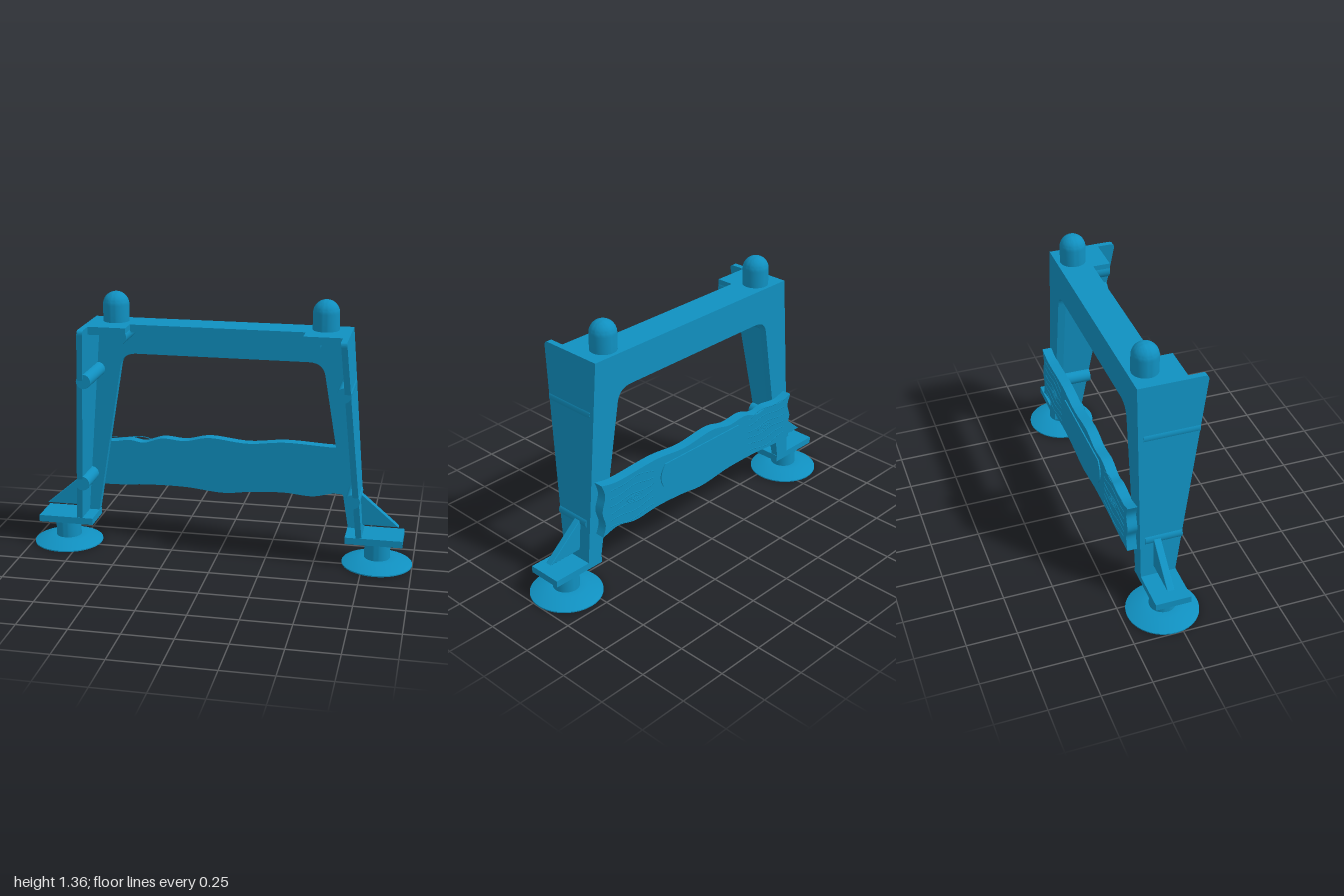
import * as THREE from 'three';
import { toCreasedNormals } from 'three/addons/utils/BufferGeometryUtils.js';

const material = new THREE.MeshStandardMaterial({ color: 0x1090c0 });
const SLOPE = 0.0813; // outward lean of the legs per unit of height
const MID_Z = -0.04;  // depth of the feet and knobs
const BACK = -0.125;

export function createModel() {
  const model = new THREE.Group();
  model.name = 'archStand';

  const add = (name, geometry, x = 0, y = 0, z = 0) => {
    const mesh = new THREE.Mesh(geometry, material);
    mesh.name = name;
    mesh.position.set(x, y, z);
    model.add(mesh);
    return mesh;
  };
  const box = (name, x0, x1, y0, y1, z0, z1) => add(name,
    new THREE.BoxGeometry(Math.abs(x1 - x0), y1 - y0, z1 - z0),
    (x0 + x1) / 2, (y0 + y1) / 2, (z0 + z1) / 2);
  const extrude = (shape, depth, bevel = 0) => new THREE.ExtrudeGeometry(shape, {
    depth: depth - 2 * bevel, bevelEnabled: bevel > 0, bevelSize: bevel,
    bevelThickness: bevel, bevelOffset: -bevel, bevelSegments: 3, curveSegments: 10,
  }).translate(0, 0, bevel);
  const lathe = (points) => toCreasedNormals(
    new THREE.LatheGeometry(points.map(([r, y]) => new THREE.Vector2(r, y)), 48), 0.4);
  const peg = (name, x, y, radius, z0, z1) => add(name,
    new THREE.CylinderGeometry(radius, radius, z1 - z0, 28).rotateX(Math.PI / 2), x, y, (z0 + z1) / 2);

  // Back panel: two leaning legs joined by a beam, with rounded inner corners
  const arch = new THREE.Shape();
  arch.moveTo(0.74, 0.15);
  arch.lineTo(0.655, 1.21);
  arch.lineTo(-0.655, 1.21);
  arch.lineTo(-0.74, 0.15);
  arch.lineTo(-0.665, 0.15);
  arch.lineTo(-0.527, 0.965);
  arch.quadraticCurveTo(-0.515, 1.03, -0.44, 1.03);
  arch.lineTo(0.44, 1.03);
  arch.quadraticCurveTo(0.515, 1.03, 0.527, 0.965);
  arch.lineTo(0.665, 0.15);
  arch.closePath();
  add('backPanel', extrude(arch, 0.04), 0, 0, BACK);
  box('topPlate', -0.65, 0.65, 1.17, 1.21, BACK, 0.04);

  // Tapered profile of the side plates, in z and y
  const sideProfile = new THREE.Shape();
  sideProfile.moveTo(BACK, 0.135);
  sideProfile.lineTo(0.053, 0.135);
  sideProfile.lineTo(0.053, 0.165);
  sideProfile.lineTo(0.219, 1.185);
  sideProfile.quadraticCurveTo(0.222, 1.21, 0.2, 1.21);
  sideProfile.lineTo(BACK, 1.21);
  sideProfile.closePath();

  // Foot and knob profiles
  const footProfile = [[0, 0], [0.18, 0], [0.18, 0.006], [0.105, 0.036],
    [0.066, 0.036], [0.066, 0.135], [0, 0.135]];
  const knobProfile = [[0, 1.2], [0.066, 1.2], [0.066, 1.294]];
  for (let i = 1; i <= 12; i++) {
    const a = (i / 12) * Math.PI / 2;
    knobProfile.push([0.066 * Math.cos(a), 1.294 + 0.066 * Math.sin(a)]);
  }

  for (const s of [1, -1]) {
    const side = s > 0 ? 'left' : 'right';

    // Side plate, sheared to follow the lean of the leg
    const plate = extrude(sideProfile, 0.03).rotateY(-Math.PI / 2).translate(0.015, 0, 0);
    const p = plate.attributes.position;
    for (let i = 0; i < p.count; i++) {
      p.setX(i, p.getX(i) + s * (0.645 + SLOPE * (1.21 - p.getY(i))));
    }
    plate.computeVertexNormals();
    add(side + 'SidePlate', plate);

    // Deeper corner under each knob, with its peg
    box(side + 'CornerPlate', s * 0.44, s * 0.645, 1.17, 1.21, -0.1, 0.13);
    peg(side + 'CornerPeg', s * 0.48, 1.165, 0.044, -0.1, 0.129);
    add(side + 'Knob', lathe(knobProfile), s * 0.53, 0, MID_Z);

    // Pegs along the inside of the side plate
    peg(side + 'UpperPeg', s * 0.648, 0.94, 0.037, -0.1, 0.18);
    peg(side + 'LowerPeg', s * 0.697, 0.37, 0.037, -0.1, 0.09);

    // Foot, foot plate and triangular brace
    box(side + 'FootPlate', s * 0.66, s * 0.95, 0.13, 0.165, BACK, 0.055);
    add(side + 'Foot', lathe(footProfile), s * 0.82, 0, MID_Z);
    const brace = new THREE.Shape([[0.715, 0.21], [0.925, 0.21], [0.715, 0.39]]
      .map(([x, y]) => new THREE.Vector2(s * x, y)));
    add(side + 'Brace', extrude(brace, 0.036, 0.004), 0, 0, MID_Z - 0.018);
  }

  // Wavy plank across the back
  const curve = (points) => new THREE.SplineCurve(points.map(([x, y]) => new THREE.Vector2(x, y)));
  const topEdge = curve([[-0.69, 0.56], [-0.6, 0.54], [-0.5, 0.553], [-0.42, 0.543], [-0.32, 0.572],
    [-0.2, 0.565], [-0.07, 0.59], [0.13, 0.572], [0.33, 0.59], [0.58, 0.58], [0.69, 0.598]]);
  const rightEnd = curve([[0.69, 0.598], [0.67, 0.53], [0.69, 0.45], [0.672, 0.37], [0.69, 0.31]]);
  const bottomEdge = curve([[0.69, 0.31], [0.59, 0.332], [0.47, 0.308], [0.32, 0.318], [0.15, 0.31],
    [0, 0.294], [-0.2, 0.312], [-0.4, 0.312], [-0.55, 0.302], [-0.69, 0.3]]);
  const leftEnd = curve([[-0.69, 0.3], [-0.672, 0.37], [-0.69, 0.43], [-0.67, 0.5], [-0.69, 0.56]]);
  const outline = [[topEdge, 70], [rightEnd, 20], [bottomEdge, 70], [leftEnd, 20]]
    .flatMap(([c, n]) => c.getPoints(n).slice(0, -1));
  add('plank', toCreasedNormals(extrude(new THREE.Shape(outline), 0.053), 0.5), 0, 0, -0.175);

  // Plain plaque with bowed ends
  const plaque = new THREE.Shape();
  plaque.moveTo(-0.27, 0.4);
  plaque.lineTo(0.27, 0.4);
  plaque.quadraticCurveTo(0.33, 0.47, 0.27, 0.54);
  plaque.lineTo(-0.27, 0.54);
  plaque.quadraticCurveTo(-0.33, 0.47, -0.27, 0.54 - 0.14);
  add('plaque', extrude(plaque, 0.012), 0, 0, -0.181);

  // Fine grain ridges and knots on both sides of the plaque
  const ridge = (name, points, closed) => add(name, new THREE.TubeGeometry(
    new THREE.CatmullRomCurve3(points, closed), 32, 0.0025, 5, closed));
  for (const s of [1, -1]) {
    for (let row = 0; row < 6; row++) {
      const y = 0.345 + row * 0.039;
      const bulge = (row - 2.5) * 0.006;
      const points = [];
      for (let i = 0; i <= 8; i++) {
        const t = i / 8;
        points.push(new THREE.Vector3(s * (0.35 + 0.29 * t),
          y + bulge * Math.sin(t * Math.PI) + 0.006 * Math.sin(t * 9 + row), -0.175));
      }
      ridge('grainLine', points, false);
    }
    for (const r of [0.025, 0.05]) {
      const points = [];
      for (let i = 0; i < 12; i++) {
        const a = (i / 12) * Math.PI * 2;
        points.push(new THREE.Vector3(s * 0.48 + r * Math.cos(a), 0.443 + r * 0.28 * Math.sin(a), -0.175));
      }
      ridge('grainKnot', points, true);
    }
  }
  return model;
}
